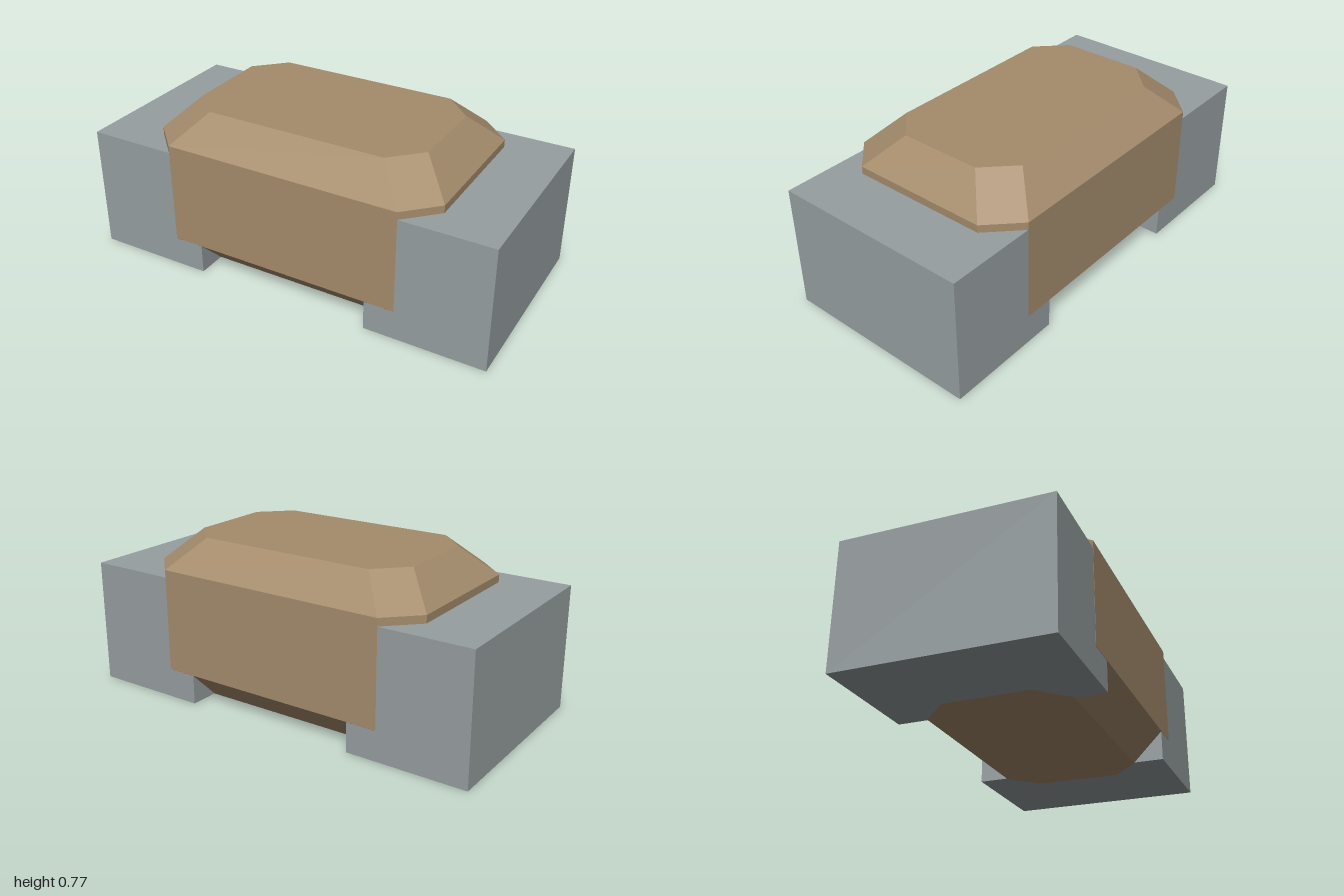
import * as THREE from 'three';

const bodyMaterial = new THREE.MeshStandardMaterial({ name: 'tan moulding', color: 0xa58c6c });
const terminalMaterial = new THREE.MeshStandardMaterial({ name: 'grey metal', color: 0x979fa1 });

// Rectangle with cut corners, as a ring of points at height y
function octagon(hx, hz, cut, y) {
  const a = hx - cut, b = hz - cut;
  return [[a, hz], [hx, b], [hx, -b], [a, -hz], [-a, -hz], [-hx, -b], [-hx, b], [-a, hz]]
    .map(([x, z]) => new THREE.Vector3(x, y, z));
}

// Faceted solid through a stack of rings, bottom to top, with both ends closed
function loft(rings) {
  const points = [];
  const n = rings[0].length;
  for (let r = 0; r < rings.length - 1; r++) {
    const lo = rings[r], hi = rings[r + 1];
    for (let i = 0; i < n; i++) {
      const j = (i + 1) % n;
      points.push(lo[i], lo[j], hi[j], lo[i], hi[j], hi[i]);
    }
  }
  const bottom = rings[0], top = rings[rings.length - 1];
  for (let i = 1; i < n - 1; i++) {
    points.push(top[0], top[i], top[i + 1], bottom[0], bottom[i + 1], bottom[i]);
  }
  const geometry = new THREE.BufferGeometry().setFromPoints(points);
  geometry.computeVertexNormals();
  return geometry;
}

export function createModel() {
  const model = new THREE.Group();
  model.name = 'chipComponent';

  // Moulded body, bevelled at top and bottom
  const body = new THREE.Mesh(loft([
    octagon(0.571, 0.333, 0.135, 0),
    octagon(0.714, 0.476, 0.143, 0.143),
    octagon(0.714, 0.476, 0.143, 0.633),
    octagon(0.571, 0.333, 0.135, 0.775),
  ]), bodyMaterial);
  body.name = 'body';
  model.add(body);

  // Metal end terminals, a hair inside the body faces so the surfaces do not clash
  for (const side of [-1, 1]) {
    const terminal = new THREE.Mesh(new THREE.BoxGeometry(0.571, 0.596, 0.95), terminalMaterial);
    terminal.position.set(side * 0.7145, 0.299, 0);
    terminal.name = side > 0 ? 'leftTerminal' : 'rightTerminal';
    model.add(terminal);
  }
  return model;
}
